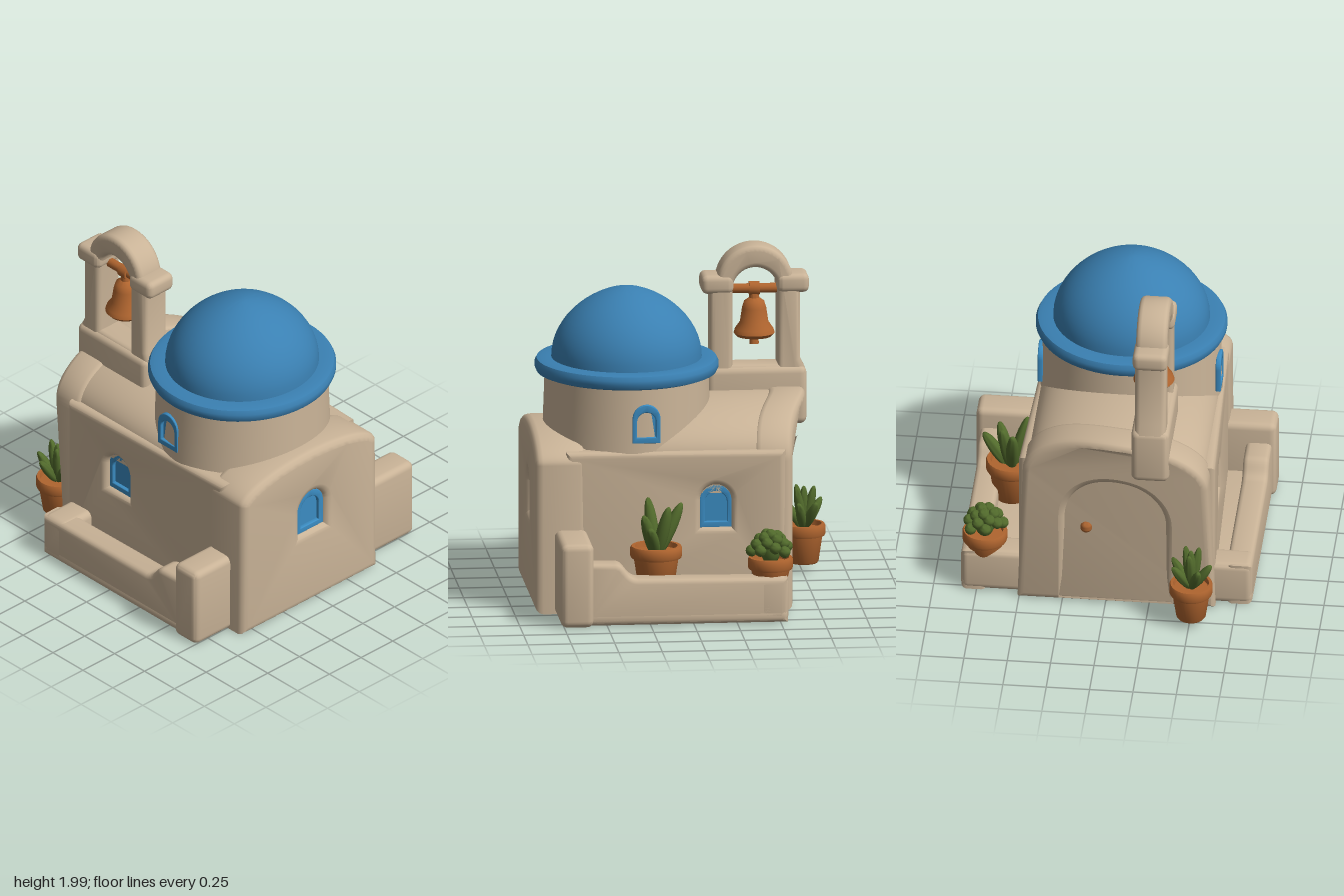
import * as THREE from 'three';
import { toCreasedNormals } from 'three/addons/utils/BufferGeometryUtils.js';
import { RoundedBoxGeometry } from 'three/addons/geometries/RoundedBoxGeometry.js';

const material = (name, color) => {
  const m = new THREE.MeshStandardMaterial({ color });
  m.name = name;
  return m;
};
const CX = -0.06; // centre line of the building

// Arched opening outline
function arch(cx, hw, y0, y1) {
  const s = new THREE.Shape(), ys = y1 - hw;
  s.moveTo(cx - hw, y0).lineTo(cx + hw, y0).lineTo(cx + hw, ys);
  s.absarc(cx, ys, hw, 0, Math.PI, false);
  return s;
}
// Wall outline with a bowed top
function hall(bottomHW, topHW, y0, eave, crown) {
  const s = new THREE.Shape();
  s.moveTo(-bottomHW, y0).lineTo(bottomHW, y0).lineTo(topHW, eave);
  s.absellipse(0, eave, topHW, crown - eave, 0, Math.PI, false, 0);
  return s;
}
// Extrusion with soft edges, filling z = 0..depth
function solid(shape, depth, b) {
  return new THREE.ExtrudeGeometry(shape, {
    depth: depth - 2 * b, bevelThickness: b, bevelSize: b, bevelOffset: -b, bevelSegments: 3, curveSegments: 24,
  }).translate(0, 0, b);
}
// The entrance wall leans outward towards its top
function lean(g) {
  const p = g.attributes.position;
  for (let i = 0; i < p.count; i++) {
    const t = THREE.MathUtils.smoothstep(0.5 - p.getX(i), 0, 0.65);
    p.setZ(i, p.getZ(i) - 0.125 * t * p.getY(i) / 1.1);
  }
  return g;
}

export function createModel() {
  const root = new THREE.Group();
  root.name = 'chapel';
  const clay = material('sand plaster', 0xc9b397);
  const blue = material('dome blue', 0x3a80b2);
  const paneBlue = material('window blue', 0x3b8cc2);
  const terracotta = material('terracotta', 0xb0652f);
  const wood = material('door wood', 0xa8622f);
  const green = material('plant green', 0x526b2c);

  const add = (name, geo, mat, parent = root, crease = 0.7) => {
    const mesh = new THREE.Mesh(toCreasedNormals(geo, crease), mat);
    mesh.name = name;
    parent.add(mesh);
    return mesh;
  };
  const box = (name, x0, x1, y0, y1, z0, z1, r = 0.04, mat = clay) => {
    const g = new RoundedBoxGeometry(x1 - x0, y1 - y0, z1 - z0, 3, r);
    g.translate((x0 + x1) / 2, (y0 + y1) / 2, (z0 + z1) / 2);
    return add(name, g, mat);
  };
  // Window frame and pane, facing +z from its origin
  function windowSet(name, hw, h, x, y, z, turn) {
    const g = new THREE.Group();
    g.name = name;
    const frame = arch(0, hw, 0, h);
    frame.holes.push(arch(0, hw * 0.68, 0.035, h - 0.045));
    add(name + 'Frame', solid(frame, 0.03, 0.005).translate(0, 0, -0.03), paneBlue, g);
    add(name + 'Pane', new THREE.ShapeGeometry(arch(0, hw, 0, h)).translate(0, 0, -0.022), paneBlue, g);
    g.position.set(x, y, z);
    g.rotation.y = turn;
    root.add(g);
  }

  // Front wall
  const front = hall(0.535, 0.53, 0.01, 0.88, 1.03);
  front.holes.push(arch(0.02, 0.1, 0.49, 0.75));
  add('frontWall', solid(front, 0.3, 0.045).translate(CX, 0, 0.58), clay);
  windowSet('frontWindow', 0.105, 0.265, CX + 0.02, 0.487, 0.85, 0);

  // Entrance wall with arched doorway
  const back = hall(0.57, 0.54, 0.01, 0.88, 1.18);
  back.holes.push(arch(0, 0.29, 0.07, 0.89));
  add('entranceWall', lean(solid(back, 0.22, 0.04).translate(CX, 0, -0.6)), clay);

  // Plank door
  const planks = 6, R = 0.32;
  for (let i = 0; i < planks; i++) {
    const w = 2 * R / planks, a = -R + i * w, s = new THREE.Shape();
    s.moveTo(a, 0.05).lineTo(a + w, 0.05);
    for (let k = 0; k <= 6; k++) {
      const x = a + w * (1 - k / 6);
      s.lineTo(x, 0.59 + Math.sqrt(Math.max(0, R * R - x * x)));
    }
    add('doorPlank', lean(solid(s, 0.05, 0.01).translate(CX, 0, -0.55)), wood);
  }
  const knob = add('doorKnob', new THREE.SphereGeometry(0.035, 16, 12), wood);
  knob.position.set(0.11, 0.53, -0.6);

  // Vaulted roof
  add('roofVault', solid(hall(0.52, 0.52, 0.7, 0.9, 1.165), 0.75, 0.02).translate(CX, 0, -0.55), clay);
  add('frontRoof', solid(hall(0.51, 0.51, 0.7, 0.88, 1.01), 0.7, 0.02).translate(CX, 0, 0.1), clay);
  box('floorSlab', -0.84, 0.84, 0.015, 0.1, -0.54, 0.75, 0.03);

  for (const s of [1, -1]) {
    // Side wall, spreading slightly to the rear
    const wall = new THREE.Shape();
    wall.moveTo(-0.7, 0.01).lineTo(0.56, 0.01).lineTo(0.56, 0.95).lineTo(-0.7, 0.95);
    wall.holes.push(arch(0.16, 0.09, 0.5, 0.75));
    const mesh = add('sideWall', solid(wall, 0.12, 0.035).translate(0, 0, -0.06).rotateY(Math.PI / 2), clay);
    mesh.position.x = CX + s * 0.488;
    mesh.rotation.y = -0.035 * s;
    windowSet('sideWindow', 0.095, 0.255, CX + s * 0.52, 0.497, -0.16, s * Math.PI / 2);
    windowSet('drumWindow', 0.08, 0.225, CX + s * 0.528, 1.0, 0.24, s * Math.PI / 2);

    // Terrace with low walls and corner pillar
    const low = new THREE.Shape();
    low.moveTo(-0.64, 0.015).lineTo(0.54, 0.015).lineTo(0.54, 0.275).lineTo(-0.32, 0.285);
    low.bezierCurveTo(-0.4, 0.29, -0.39, 0.375, -0.46, 0.375);
    low.lineTo(-0.64, 0.38);
    add('terraceWall', solid(low, 0.15, 0.03).translate(0, 0, -0.075).rotateY(Math.PI / 2).translate(s * 0.765, 0, 0), clay);
    const span = (a, b) => [Math.min(s * a, s * b), Math.max(s * a, s * b)];
    box('terraceBackWall', ...span(0.4, 0.84), 0.015, 0.28, -0.545, -0.36);
    box('terraceFloor', ...span(0.38, 0.78), 0.02, 0.18, -0.5, 0.65, 0.01);
    box('cornerPillar', ...span(0.4, 0.865), 0.01, 0.5, 0.58, 0.77);
  }

  // Round drum and blue dome
  const drum = add('drum', new THREE.CylinderGeometry(0.51, 0.53, 0.5, 64), clay);
  drum.position.set(CX, 1.08, 0.305);
  drum.scale.z = 0.92;
  const profile = [[0, 1.31], [0.51, 1.31], [0.538, 1.32], [0.55, 1.345], [0.55, 1.37], [0.538, 1.393], [0.51, 1.4], [0.45, 1.4]]
    .map(([x, y]) => new THREE.Vector2(x, y));
  for (let i = 1; i <= 16; i++) {
    const t = i / 16 * Math.PI / 2;
    profile.push(new THREE.Vector2(i === 16 ? 0 : 0.45 * Math.cos(t) ** 1.2, 1.4 + 0.41 * Math.sin(t)));
  }
  const dome = add('dome', new THREE.LatheGeometry(profile, 64), blue);
  dome.position.set(CX, 0, 0.305);
  dome.scale.z = 0.96;

  // Bell tower
  const tower = new THREE.Shape();
  tower.moveTo(0.17, 1.0).lineTo(0.74, 1.0).lineTo(0.74, 1.27).lineTo(0.71, 1.33).lineTo(0.71, 1.76).lineTo(0.67, 1.78);
  tower.absarc(0.45, 1.78, 0.22, 0, Math.PI, false);
  tower.lineTo(0.19, 1.76).lineTo(0.19, 1.33).lineTo(0.17, 1.27);
  tower.holes.push(arch(0.45, 0.13, 1.3, 1.87));
  add('bellTower', solid(tower, 0.18, 0.03).rotateY(Math.PI / 2).translate(-0.36, 0, 0), clay);
  box('bellTowerBase', -0.38, -0.16, 0.95, 1.29, -0.745, -0.17);
  box('towerCapital', -0.37, -0.17, 1.72, 1.83, -0.325, -0.14, 0.035);
  box('towerCapital', -0.37, -0.17, 1.72, 1.83, -0.76, -0.575, 0.035);

  // Bell on its beam
  const bell = new THREE.Group();
  bell.name = 'bell';
  bell.position.set(-0.265, 0, -0.45);
  root.add(bell);
  add('bellBeam', new THREE.CylinderGeometry(0.028, 0.028, 0.3, 16).rotateX(Math.PI / 2).translate(0, 1.735, 0), terracotta, bell);
  add('beamCollar', new THREE.CylinderGeometry(0.04, 0.04, 0.06, 16).rotateX(Math.PI / 2).translate(0, 1.735, 0), terracotta, bell);
  add('bellBody', new THREE.LatheGeometry([[0, 1.47], [0.1, 1.455], [0.118, 1.475], [0.11, 1.5], [0.082, 1.54], [0.07, 1.62],
    [0.058, 1.66], [0.03, 1.68], [0.025, 1.72], [0, 1.72]].map(([x, y]) => new THREE.Vector2(x, y)), 32), terracotta, bell);
  add('bellClapper', new THREE.CylinderGeometry(0.02, 0.028, 0.08, 14).translate(0, 1.45, 0), terracotta, bell);

  // Flower pot standing at y0
  function pot(name, x, y0, z, r, h) {
    const pts = [[0, 0], [r * 0.62, 0], [r * 0.68, 0.01], [r * 0.86, h - 0.07], [r * 0.96, h - 0.068], [r, h - 0.055], [r, h - 0.015],
      [r * 0.95, h], [r * 0.82, h], [r * 0.78, h - 0.03], [0, h - 0.03]];
    const m = add(name, new THREE.LatheGeometry(pts.map(([a, b]) => new THREE.Vector2(a, b)), 32), terracotta);
    m.position.set(x, y0, z);
  }
  // Plump leaf from base to tip
  function leaf(base, tip, w) {
    const a = new THREE.Vector3(...base), d = new THREE.Vector3(...tip).sub(a), l = d.length();
    const m = add('leaf', new THREE.SphereGeometry(1, 14, 12).scale(w, l / 2, w).translate(0, l / 2, 0), green, root, 1.2);
    m.position.copy(a);
    m.quaternion.setFromUnitVectors(new THREE.Vector3(0, 1, 0), d.normalize());
  }

  pot('terracePot', 0.62, 0.18, 0.2, 0.15, 0.255);
  for (const tip of [[0.53, 0.7, 0.24], [0.6, 0.68, 0.05], [0.7, 0.63, 0.28], [0.79, 0.57, 0.25], [0.67, 0.67, 0.13]])
    leaf([0.62, 0.36, 0.2], tip, 0.037);

  pot('entrancePot', -0.51, 0.06, -0.76, 0.125, 0.23);
  for (let i = 0; i < 9; i++) {
    const a = i * 2.4, r = i === 0 ? 0 : i < 4 ? 0.06 : 0.12;
    leaf([-0.51, 0.25, -0.76], [-0.51 + r * Math.cos(a), i < 4 ? 0.51 : 0.43, -0.76 + r * Math.sin(a)], 0.028);
  }

  pot('cornerPot', 0.71, 0.2, -0.45, 0.13, 0.175);
  for (let i = 0; i < 20; i++) {
    const t = (i + 0.5) / 20, a = i * 2.4, r = 0.11 * Math.sqrt(t);
    const bud = add('succulentBud', new THREE.SphereGeometry(0.034, 12, 10), green, root, 1.2);
    bud.position.set(0.71 + r * Math.cos(a), 0.51 - 0.1 * t, -0.45 + r * Math.sin(a));
  }
  leaf([0.71, 0.33, -0.45], [0.71, 0.52, -0.45], 0.06);

  return root;
}
